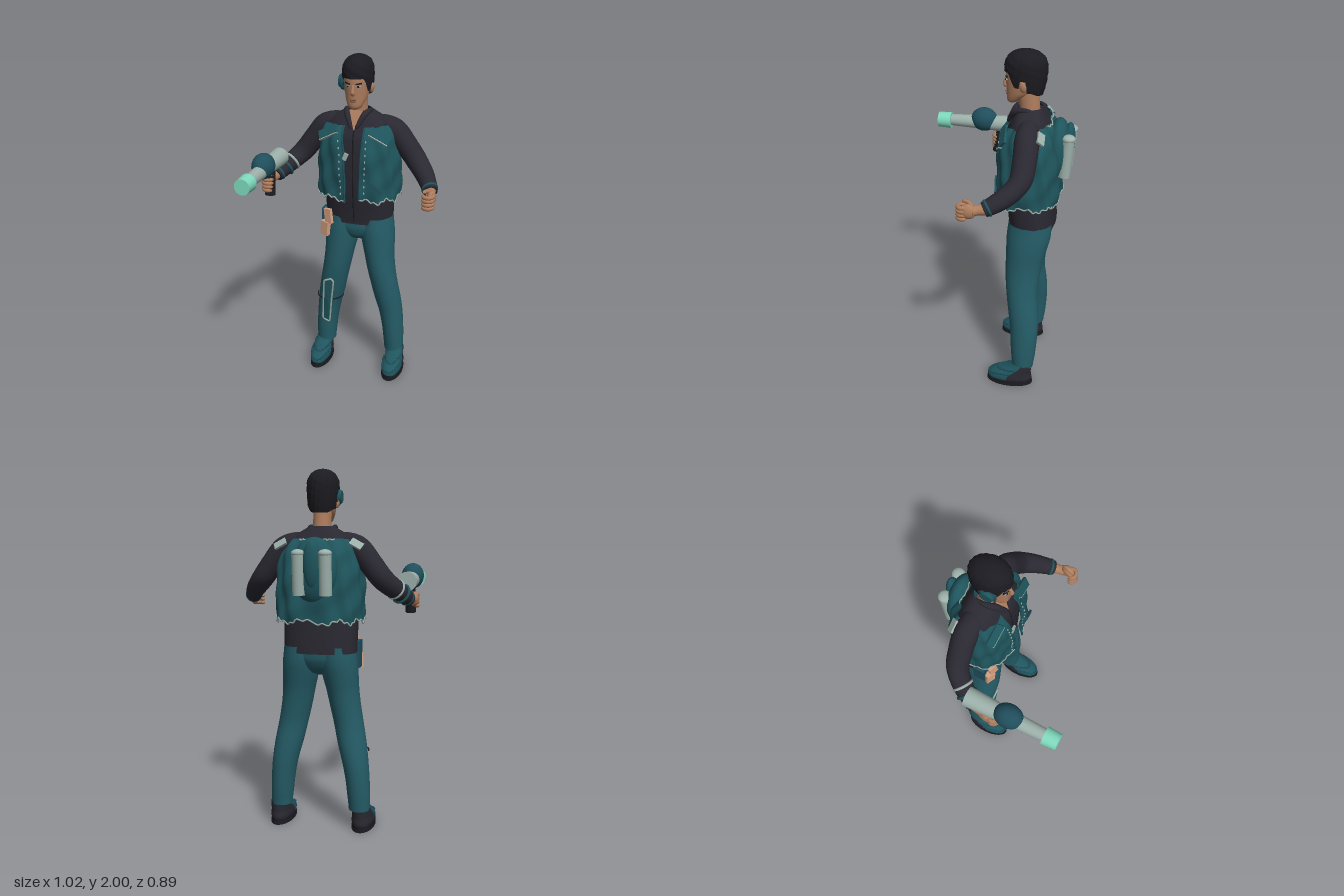
import * as THREE from 'three';

const mat = (name, color, side = THREE.DoubleSide) => {
  const m = new THREE.MeshStandardMaterial({ color, side });
  m.name = name;
  return m;
};
const V = (x, y, z) => new THREE.Vector3(x, y, z);
const TAU = Math.PI * 2;

// Grid surface from point(u, v); u runs around, v runs upward
function surface(point, nu, nv, closed = true) {
  const pos = [], idx = [], cols = closed ? nu : nu + 1;
  for (let j = 0; j <= nv; j++)
    for (let i = 0; i < cols; i++) pos.push(...point(i / nu, j / nv));
  for (let j = 0; j < nv; j++)
    for (let i = 0; i < nu; i++) {
      const a = j * cols + i, b = j * cols + (i + 1) % cols;
      idx.push(a, b, b + cols, a, b + cols, a + cols);
    }
  const g = new THREE.BufferGeometry();
  g.setAttribute('position', new THREE.Float32BufferAttribute(pos, 3));
  g.setIndex(idx);
  g.computeVertexNormals();
  return g;
}

// Smooth interpolation of [y, cx, cz, rx, rz] sections at height y
function sectionAt(s, y) {
  let i = 0;
  while (i < s.length - 2 && y > s[i + 1][0]) i++;
  const p = s[Math.max(i - 1, 0)], a = s[i], b = s[i + 1], q = s[Math.min(i + 2, s.length - 1)];
  const t = Math.min(1, Math.max(0, (y - a[0]) / (b[0] - a[0])));
  return a.map((_, k) => a[k] + 0.5 * t * (b[k] - p[k] + t * (2 * p[k] - 5 * a[k] + 4 * b[k] - q[k]
    + t * (3 * (a[k] - b[k]) + q[k] - p[k]))));
}
const pw = (v, e) => Math.sign(v) * Math.abs(v) ** e;
function ringPoint(s, y, a, e = 1, grow = 0) {
  const [, cx, cz, rx, rz] = sectionAt(s, y);
  return [cx + (rx + grow) * pw(Math.sin(a), e), y, cz + (rz + grow) * pw(Math.cos(a), e)];
}
function loft(s, { e = 1, nu = 28, nv = 18, a0 = 0, a1 = TAU } = {}) {
  const y0 = s[0][0], y1 = s[s.length - 1][0];
  return surface((u, v) => ringPoint(s, y0 + (y1 - y0) * v, a0 + (a1 - a0) * u, e), nu, nv, a1 - a0 > 6.28);
}

// Tube with changing radius along a smooth path of [x, y, z, r], ends closed
function limb(pts, nu = 14, nv = 20) {
  const curve = new THREE.CatmullRomCurve3(pts.map(p => V(p[0], p[1], p[2])));
  const { normals, binormals } = curve.computeFrenetFrames(nv);
  return surface((u, v) => {
    const f = v * (pts.length - 1), i = Math.min(Math.floor(f), pts.length - 2), j = Math.round(v * nv);
    const r = (j === 0 || j === nv) ? 0.0005 : pts[i][3] + (pts[i + 1][3] - pts[i][3]) * (f - i);
    const p = curve.getPoint(v), a = u * TAU;
    p.addScaledVector(normals[j], r * Math.cos(a)).addScaledVector(binormals[j], r * Math.sin(a));
    return [p.x, p.y, p.z];
  }, nu, nv);
}
const wire = (pts, r, n = 60) =>
  new THREE.TubeGeometry(new THREE.CatmullRomCurve3(pts.map(p => V(...p))), n, r, 5);
const steps = (n, f) => Array.from({ length: n + 1 }, (_, i) => f(i / n));

export function createModel() {
  const root = new THREE.Group();
  root.name = 'figure';
  const vestM = mat('vest teal', 0x1f555d), pantsM = mat('trouser teal', 0x255c67);
  const darkM = mat('dark cloth', 0x2a2831), hairM = mat('black', 0x1c1b21);
  const skinM = mat('skin', 0xae7d5e), paleM = mat('pale grey', 0x9db0aa);
  const mintM = mat('mint', 0x7fd9bc), bulbM = mat('deep blue teal', 0x204e5c);
  const tanM = mat('tan leather', 0xd6a283), lipM = mat('lips', 0x8d5848);

  const add = (name, geo, m, pos, rot, scale) => {
    const o = new THREE.Mesh(geo, m);
    o.name = name;
    if (pos) o.position.set(...pos);
    if (rot) o.rotation.set(...rot);
    if (scale) o.scale.set(...scale);
    root.add(o);
    return o;
  };
  const box = (name, size, m, pos, rot) => add(name, new THREE.BoxGeometry(...size), m, pos, rot);
  const ball = (name, r, m, pos, rot) => add(name, new THREE.SphereGeometry(1, 24, 16), m, pos, rot, r);

  // Head and neck
  add('neck', loft([[1.6, 0, -.185, .06, .06], [1.68, 0, -.187, .05, .055], [1.78, 0, -.175, .05, .06]]), skinM);
  const head = [[1.71, 0, -.09, .012, .012], [1.72, 0, -.097, .034, .03], [1.74, 0, -.11, .047, .047],
    [1.77, 0, -.132, .06, .07], [1.81, 0, -.147, .068, .088], [1.85, 0, -.155, .073, .098],
    [1.89, 0, -.16, .074, .102], [1.94, 0, -.16, .066, .09], [1.98, 0, -.16, .03, .045]];
  add('head', loft(head, { nv: 30, nu: 32 }), skinM);
  add('nose', limb([[0, 1.855, -.066, .007], [0, 1.83, -.056, .009], [0, 1.805, -.053, .013], [0, 1.797, -.06, .01]]), skinM);
  ball('upperLip', [.021, .005, .006], lipM, [0, 1.769, -.062]);
  ball('lowerLip', [.018, .006, .006], lipM, [0, 1.76, -.063]);
  for (const s of [1, -1]) {
    ball('eye', [.013, .005, .006], paleM, [s * .03, 1.842, -.066], [0, s * .35, 0]);
    ball('iris', [.007, .005, .004], hairM, [s * .029, 1.842, -.0615]);
    box('eyebrow', [.034, .007, .008], hairM, [s * .031, 1.857, -.066], [0, s * .4, s * .15]);
    ball('ear', [.012, .03, .018], skinM, [s * .08, 1.82, -.16], [.15, 0, -s * .15]);
  }

  // Short hair: high over the brow, sideburns, notch at the ear, low nape
  const ease = THREE.MathUtils.smoothstep;
  const hairline = a => {
    const c = Math.cos(a);
    return c > .2 ? 1.81 + .073 * ease(c, .45, .8) : c > -.12 ? 1.85 : 1.785 - .02 * ease(-c, .3, .9);
  };
  add('hair', surface((u, v) => {
    const a = u * TAU, b = hairline(a), y = b + (2 - b) * Math.sin(v * Math.PI / 2);
    const k = (y > 1.9 ? Math.sqrt(Math.max(0, 1 - ((y - 1.9) / .1) ** 2.6)) : 1 - 11 * (1.9 - y) ** 2)
      * (1 + .03 * Math.sin(13 * a + 60 * y) * Math.sin(7 * a - 90 * y));
    return [.087 * k * Math.sin(a), y, -.163 + .113 * k * Math.cos(a)];
  }, 72, 22), hairM);
  add('earpiece', new THREE.CylinderGeometry(.034, .046, .03, 20), vestM, [-.085, 1.852, -.14], [0, 0, Math.PI / 2]);
  add('earpieceRim', new THREE.TorusGeometry(.043, .006, 8, 24), bulbM, [-.08, 1.852, -.14], [0, Math.PI / 2, 0]);

  // Sweater body and collar
  const torso = [[1.015, 0, -.222, .203, .132], [1.05, 0, -.22, .204, .133], [1.2, 0, -.205, .206, .14],
    [1.4, 0, -.2, .21, .145], [1.55, 0, -.195, .2, .13], [1.62, 0, -.195, .175, .1],
    [1.66, 0, -.193, .13, .08], [1.695, 0, -.19, .066, .064]];
  add('sweater', loft(torso, { e: .85, nv: 34, nu: 40 }), darkM);
  add('sweaterPlacket', wire(steps(12, t => ringPoint(torso, 1.03 + .56 * t, 0, .85)), .004), hairM);
  const throat = new THREE.BufferGeometry().setFromPoints(
    [V(-.04, 1.697, -.125), V(0, 1.59, -.072), V(.04, 1.697, -.125)]);
  throat.computeVertexNormals();
  add('throatOpening', throat, skinM);
  for (const s of [1, -1])
    add('collar', limb([[s * .06, 1.67, -.23, .012], [s * .068, 1.69, -.17, .014], [s * .05, 1.675, -.115, .018],
      [s * .012, 1.6, -.07, .01]]), darkM);

  // Open vest with a ragged hem, its top tucked in over the sweater
  const vest = [[1.14, .006, -.2, .234, .168], [1.2, .006, -.2, .239, .174], [1.3, .006, -.2, .24, .174],
    [1.45, .004, -.198, .234, .17], [1.55, 0, -.195, .216, .153], [1.6, 0, -.195, .196, .127], [1.66, 0, -.195, .15, .09]];
  const vestPoint = (u, v, grow = 0) => {
    const gap = .1 + .13 * v ** 3, a = gap + u * (TAU - 2 * gap);
    const hem = 1.19 + .012 * Math.sin(9 * a) + .008 * Math.sin(31 * a);
    const y = hem + (1.622 - .008 * Math.cos(a) - hem) * v;
    return ringPoint(vest, y, a, .75, grow + .006 * Math.sin(11 * a + 12 * y) + .004 * Math.sin(5 * a - 35 * y));
  };
  add('vest', surface((u, v) => vestPoint(u, v), 110, 24, false), vestM);
  add('vestHemTrim', wire(steps(90, t => vestPoint(t, 0, .001)), .0045, 180), paleM);
  add('vestBackTrim', wire(steps(16, t => vestPoint(.42 + .16 * t, .985 + .01 * Math.sin(40 * t), .002)), .004), paleM);
  for (const u of [0, 1]) {
    add('vestEdge', wire(steps(12, t => vestPoint(u, t)), .006), vestM);
    for (let i = 0; i < 9; i++) ball('vestStitch', [.004, .008, .004], paleM, vestPoint(u ? .985 : .015, .1 + i * .09, .002));
  }
  for (const s of [1, -1]) {
    box('chestFlap', [.12, .05, .014], vestM, [s * .15, 1.575, -.072], [-.6, s * .35, s * -.35]);
    box('chestFlapTrim', [.12, .006, .016], paleM, [s * .143, 1.552, -.058], [-.6, s * .35, s * -.35]);
    box('shoulderPatch', [.07, .045, .012], paleM, [s * .21, 1.6, -.278], [.7, -s * .3, s * -.4]);
  }
  box('pocketFlap', [.1, .02, .012], bulbM, [.14, 1.28, -.03], [0, .15, -.7]);
  box('clip', [.025, .04, .012], paleM, [-.035, 1.45, -.03], [0, 0, -.4]);

  // Back pack with two canisters
  ball('backPack', [.125, .178, .068], vestM, [0, 1.46, -.35]);
  ball('packSpine', [.05, .13, .035], vestM, [0, 1.49, -.4], [-.07, 0, 0]);
  for (const s of [1, -1]) {
    add('canister', new THREE.CylinderGeometry(.034, .034, .22, 16), paleM, [s * .073, 1.445, -.4], [-.07, 0, 0]);
    ball('canisterCap', [.036, .022, .036], paleM, [s * .073, 1.553, -.408]);
  }

  // Trousers
  add('hips', loft([[.885, 0, -.21, .02, .03], [.9, 0, -.21, .08, .07], [.93, 0, -.212, .14, .1],
    [.98, 0, -.216, .19, .12], [1.06, 0, -.22, .196, .124]]), pantsM);
  for (const s of [1, -1]) {
    const leg = [[.12, .228, -.216, .06, .063], [.2, .224, -.217, .064, .072], [.3, .216, -.217, .068, .079],
      [.4, .202, -.215, .074, .084], [.5, .182, -.204, .081, .088], [.6, .162, -.192, .083, .09],
      [.7, .142, -.19, .086, .098], [.8, .126, -.195, .091, .106], [.9, .113, -.207, .101, .118],
      [.97, .105, -.215, .103, .125], [1.05, .098, -.22, .1, .122]].map(([y, x, ...r]) => [y, s * x + .006, ...r]);
    add('trouserLeg', loft(leg, { nv: 32 }), pantsM);

    // Shoe: teal front, dark heel, thin outsole
    const x = s * .24 + .008;
    const shoe = [[.018, x, -.14, .058, .13], [.045, x, -.14, .063, .134], [.07, x, -.15, .06, .12],
      [.095, x, -.18, .055, .09], [.13, x, -.212, .05, .058], [.14, x, -.215, .046, .052]];
    add('shoeFront', loft(shoe, { e: .9, nv: 12, a0: -1.5, a1: 1.5 }), vestM);
    add('shoeHeel', loft(shoe, { e: .9, nv: 12, a0: 1.5, a1: TAU - 1.5 }), darkM);
    for (const y of [.068, .098])
      add('shoeStrap', wire(steps(12, t => ringPoint(shoe, y + .012 * Math.cos(t * TAU), -1.5 + 3 * t, .9, .001)), .006), bulbM);
    for (const [n, y, h, k] of [['outsole', .006, .012, 1.04], ['midsole', .023, .022, 1.01]])
      add(n, new THREE.CylinderGeometry(1, 1, h, 32), hairM, [x, y, -.14], null, [.063 * k, 1, .134 * k]);

    // Sleeve, cuff and curled hand
    add('sleeve', limb([[s * .03, 1.61, -.198, .03], [s * .13, 1.605, -.202, .06], [s * .205, 1.577, -.206, .067],
      [s * .275, 1.495, -.207, .064], [s * .343, 1.408, -.195, .061], [s * .41, 1.345, -.125, .053],
      [s * .455, 1.3, -.04, .042], [s * .458, 1.297, -.03, .04]], 20, 40), darkM);
    add('cuff', new THREE.TorusGeometry(.04, .008, 8, 20), vestM, [s * .45, 1.306, -.05]).lookAt(s * .5, 1.26, .05);
    add('wrist', limb([[s * .455, 1.3, -.05, .03], [s * .464, 1.295, 0, .027], [s * .473, 1.292, .03, .03]]), skinM);
    ball('palm', [.026, .042, .045], skinM, [s * .478, 1.29, .045], [.25, 0, 0]);
    for (let i = 0; i < 4; i++) {
      const y = 1.315 - i * .021;
      add('finger', limb([[s * .487, y, .05, .012], [s * .492, y - .003, .082, .012], [s * .473, y - .005, .1, .012],
        [s * .446, y - .006, .094, .011], [s * .438, y - .006, .065, .01]], 8, 12), skinM);
    }
    add('thumb', limb([[s * .475, 1.31, .02, .014], [s * .452, 1.328, .045, .012], [s * .44, 1.332, .085, .01]], 8, 10), skinM);
  }
  [['bracelet', paleM, .4, 1.355, -.137], ['braceletBand', vestM, .425, 1.33, -.1]].forEach(([n, m, x, y, z]) =>
    add(n, new THREE.TorusGeometry(.052, .008, 8, 22), m, [-x, y, z]).lookAt(-x - .05, y - .05, z + .08));

  // Hip pouch
  box('pouchTop', [.05, .09, .02], tanM, [-.163, 1.045, -.1], [0, -.4, .12]);
  box('pouch', [.055, .09, .035], tanM, [-.185, .96, -.113], [0, -.45, -.08]);
  box('pouchSide', [.03, .15, .07], bulbM, [-.2, 1.0, -.165]);

  // Shin guard on the right leg
  const guard = [[-.15, .62], [-.195, .6], [-.205, .48], [-.218, .31], [-.175, .29], [-.155, .45], [-.135, .6]];
  const guardZ = y => y > .45 ? -.094 + (y - .6) * .1 : -.109 - (.45 - y) * .13;
  const rim = guard.map(([x, y]) => V(x, y, guardZ(y)));
  const fan = [];
  rim.forEach((p, i) => fan.push(V(-.176, .46, -.1), p, rim[(i + 1) % rim.length]));
  const plate = new THREE.BufferGeometry().setFromPoints(fan);
  plate.computeVertexNormals();
  add('shinGuard', plate, vestM);
  add('shinGuardTrim', new THREE.TubeGeometry(new THREE.CatmullRomCurve3(rim, true, 'catmullrom', .1), 60, .006, 6, true), paleM);
  add('shinStrap', new THREE.TorusGeometry(.09, .004, 6, 24, Math.PI), hairM, [-.186, .46, -.204], [Math.PI / 2, 0, 0], [.93, 1, 1]);

  // Blaster: tapered barrel, bulb, nozzle and grip
  const zAxis = [Math.PI / 2, 0, 0];
  add('barrel', new THREE.CylinderGeometry(.034, .054, .45, 24), paleM, [-.452, 1.395, .145], zAxis);
  ball('bulb', [.064, .073, .081], bulbM, [-.452, 1.415, .16]);
  add('nozzle', new THREE.CylinderGeometry(.045, .05, .08, 24), mintM, [-.452, 1.392, .405], zAxis);
  add('grip', new THREE.CylinderGeometry(.026, .03, .16, 16), hairM, [-.455, 1.292, .066], [-.15, 0, 0]);
  return root;
}
